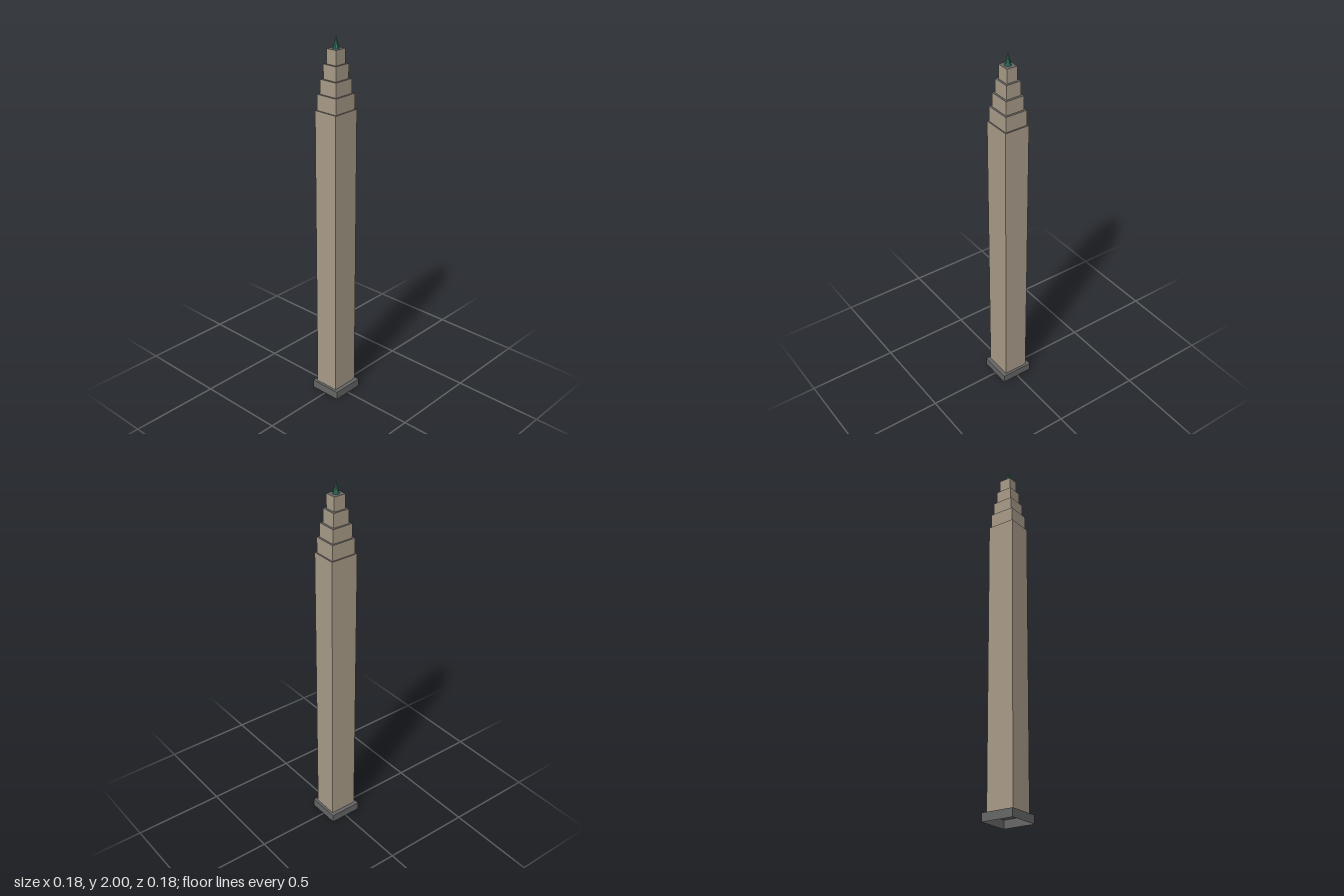
import * as THREE from 'three';

export function createModel() {
  const group = new THREE.Group();
  const stone = new THREE.MeshStandardMaterial({ name: 'tan stone', color: 0xa89b88 });
  const grey = new THREE.MeshStandardMaterial({ name: 'dark grey', color: 0x666666, side: THREE.DoubleSide });
  const green = new THREE.MeshStandardMaterial({ name: 'copper green', color: 0x3a7a66, flatShading: true });

  function add(name, geometry, material, y) {
    const mesh = new THREE.Mesh(geometry, material);
    mesh.name = name;
    mesh.position.y = y;
    group.add(mesh);
  }

  // Base: a shallow box with an open underside
  const baseTop = 0.045, baseSize = 0.181;
  const baseGeometry = new THREE.BoxGeometry(baseSize, baseTop, baseSize);
  // the fourth of six sides is the bottom; leave it undrawn
  baseGeometry.groups = baseGeometry.groups.filter((g) => g.materialIndex !== 3);
  add('base', baseGeometry, Array(6).fill(grey), baseTop / 2);

  // Shaft and setback tiers: width, depth, top height; stone walls, grey roofs
  const levels = [
    ['shaft', 0.138, 0.154, 1.627],
    ['firstTier', 0.124, 0.138, 1.71],
    ['secondTier', 0.105, 0.116, 1.785],
    ['thirdTier', 0.083, 0.092, 1.86],
    ['topTier', 0.061, 0.068, 1.935],
  ];
  let bottom = baseTop;
  for (const [name, width, depth, top] of levels) {
    add(name, new THREE.BoxGeometry(width, top - bottom, depth),
      [stone, stone, grey, stone, stone, stone], (top + bottom) / 2);
    // the shaft is hidden from below by the base
    bottom = top;
  }

  // Spire
  const spireHeight = 2 - bottom;
  add('spire', new THREE.ConeGeometry(0.017, spireHeight, 10), green, bottom + spireHeight / 2);

  // Keep the shaft's underside just above the base ceiling
  group.getObjectByName('shaft').position.y += 0.0005;
  return group;
}
